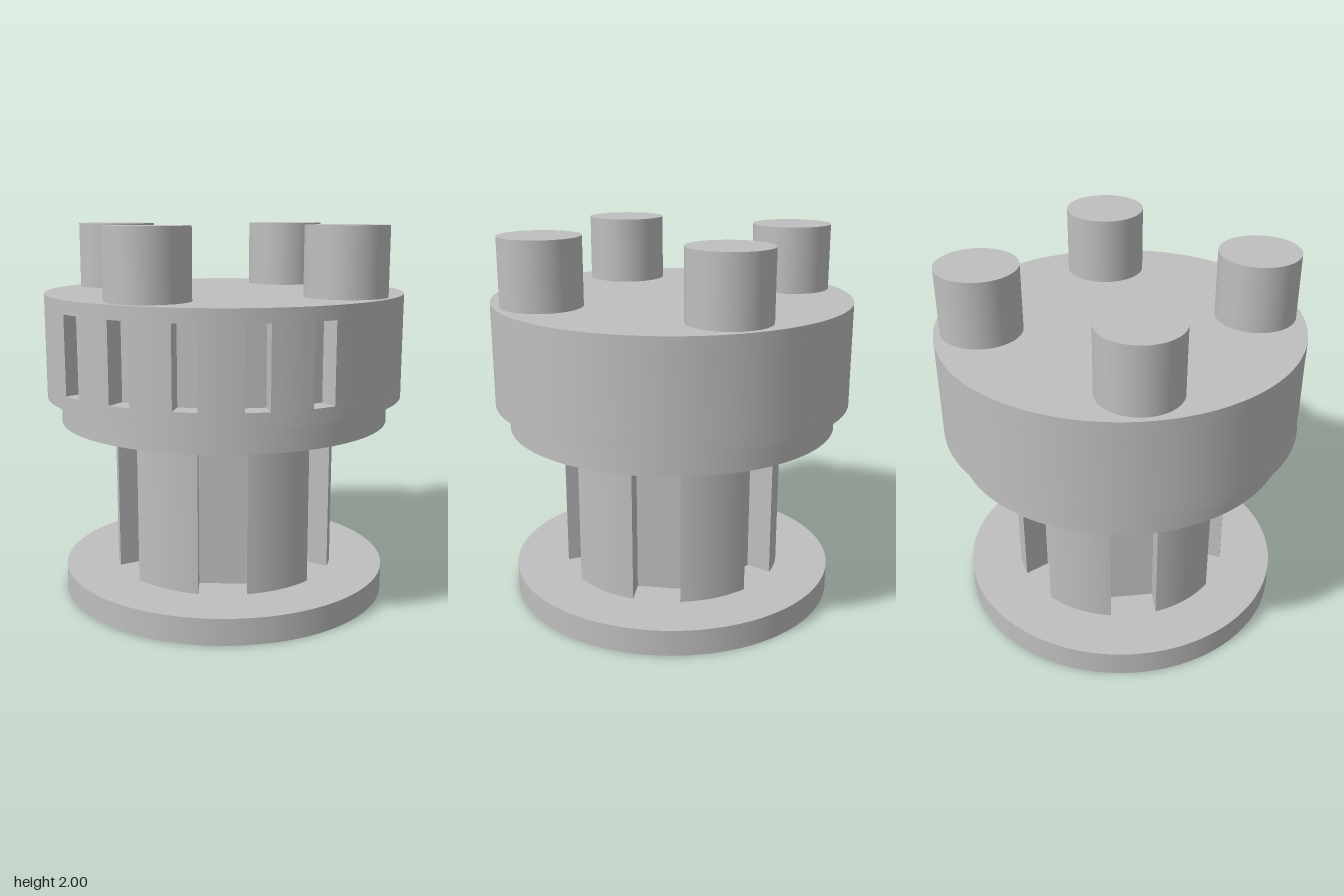
import * as THREE from 'three';
import { toCreasedNormals } from 'three/addons/utils/BufferGeometryUtils.js';

const rad = THREE.MathUtils.degToRad;

export function createModel() {
  const model = new THREE.Group();
  model.name = 'slottedHub';
  const grey = new THREE.MeshStandardMaterial({ color: 0xbfbfbf });
  grey.name = 'plain grey';

  function add(name, geometry, x = 0, y = 0, z = 0) {
    const mesh = new THREE.Mesh(geometry, grey);
    mesh.name = name;
    mesh.position.set(x, y, z);
    model.add(mesh);
  }

  // Upright cylinder between two heights
  function disc(name, radius, y0, y1, x = 0, z = 0) {
    add(name, new THREE.CylinderGeometry(radius, radius, y1 - y0, 128), x, (y0 + y1) / 2, z);
  }

  // Round bar with flat-floored, parallel-sided notches at rising angles (degrees from +z towards +x)
  function notchedBar(name, radius, floor, halfWidth, angles, y0, y1) {
    const points = [];
    const half = Math.asin(halfWidth / radius);
    const polar = (r, a) => points.push(new THREE.Vector2(r * Math.sin(a), -r * Math.cos(a)));
    const floorRadius = Math.hypot(floor, halfWidth);
    const floorHalf = Math.atan2(halfWidth, floor);
    angles.forEach((angle, i) => {
      const a = rad(angle);
      polar(floorRadius, a - floorHalf);
      polar(floorRadius, a + floorHalf);
      // Outer arc up to the next notch
      const next = i + 1 < angles.length ? rad(angles[i + 1]) : rad(angles[0] + 360);
      const start = a + half, end = next - half;
      const steps = Math.ceil((end - start) / rad(3));
      for (let k = 0; k <= steps; k++) polar(radius, start + (end - start) * k / steps);
    });
    const geometry = new THREE.ExtrudeGeometry(new THREE.Shape(points), { depth: y1 - y0, bevelEnabled: false });
    geometry.rotateX(-Math.PI / 2);
    add(name, toCreasedNormals(geometry, rad(15)), 0, y0, 0);
  }

  // Base and grooved column
  disc('baseFlange', 0.887, 0, 0.14);
  notchedBar('groovedColumn', 0.6, 0.444, 0.125, [30, 90, 150, 210, 270, 330], 0.14, 0.955);
  disc('upperFlange', 0.887, 0.955, 1.095);

  // Drum, with a row of five slots through its middle band
  disc('drumBottom', 0.96, 1.095, 1.17);
  notchedBar('slottedDrumBand', 0.96, 0.853, 0.06, [-20, 0, 20, 40, 60], 1.17, 1.575);
  disc('drumTop', 0.96, 1.575, 1.645);

  // Four pegs on top
  for (let i = 0; i < 4; i++) {
    const a = i * Math.PI / 2;
    disc('peg' + (i + 1), 0.213, 1.645, 2, 0.714 * Math.sin(a), 0.714 * Math.cos(a));
  }

  return model;
}
